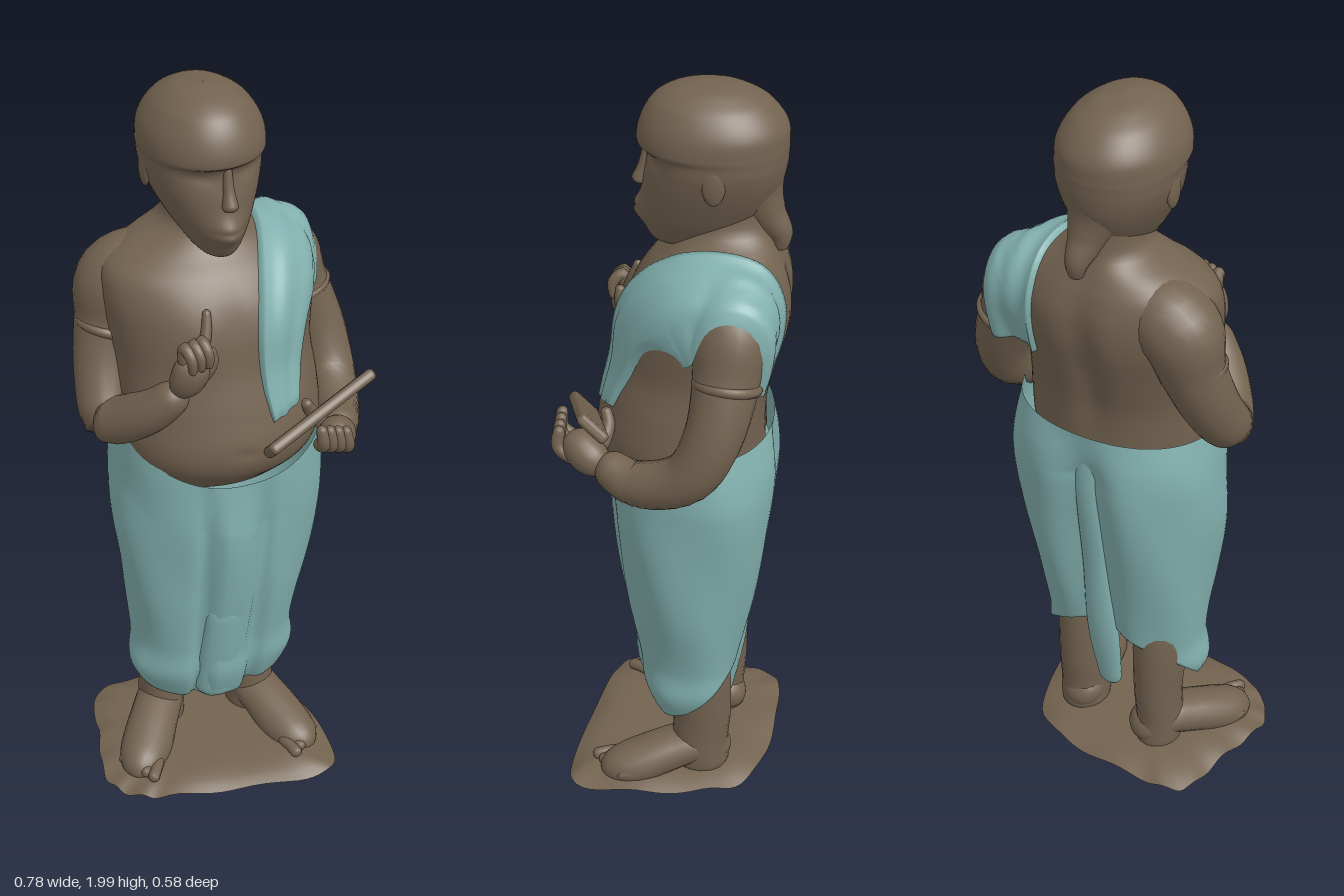
import * as THREE from 'three';
import { RoundedBoxGeometry } from 'three/addons/geometries/RoundedBoxGeometry.js';

const V = (p) => new THREE.Vector3(...p);
const bump = (x, w) => Math.exp(-(x * x) / (w * w));

// Smooth surface from rows of points; each row closes on itself unless open.
function grid(rows, cols, fn, open = false) {
  const pos = [], idx = [], n = open ? cols + 1 : cols;
  for (let i = 0; i <= rows; i++)
    for (let j = 0; j < n; j++) pos.push(...fn(i / rows, j / cols));
  for (let i = 0; i < rows; i++)
    for (let j = 0; j < cols; j++) {
      const k = (j + 1) % n, a = i * n + j, b = i * n + k, c = a + n, d = b + n;
      idx.push(a, b, c, b, d, c);
    }
  const g = new THREE.BufferGeometry();
  g.setAttribute('position', new THREE.Float32BufferAttribute(pos, 3));
  g.setIndex(idx);
  g.computeVertexNormals();
  return g;
}

// Smooth lookup in a table of [y, centreX, halfWidth, frontZ, backZ].
function profile(t, y) {
  let i = 0;
  while (i < t.length - 2 && y > t[i + 1][0]) i++;
  const a = t[i], b = t[i + 1], h = b[0] - a[0];
  const s = Math.min(1, Math.max(0, (y - a[0]) / h));
  const p = t[i - 1] || a, q = t[i + 2] || b;
  return a.map((v, k) => {
    const m0 = ((b[k] - p[k]) / (b[0] - p[0])) * h, m1 = ((q[k] - v) / (q[0] - a[0])) * h;
    return v + s * m0 + s * s * (3 * (b[k] - v) - 2 * m0 - m1) + s * s * s * (m0 + m1 - 2 * (b[k] - v));
  });
}

// Point on a rounded cross-section at height y.
function around(table, y, a, e = 1) {
  const [, cx, rx, zf, zb] = profile(table, y);
  const s = Math.sin(a), c = Math.cos(a), pw = (v) => Math.sign(v) * Math.abs(v) ** e;
  return [cx + rx * pw(s), y, (zf + zb) / 2 + ((zf - zb) / 2) * pw(c)];
}

// Rounded limb through points [x, y, z, radius]; flat squashes one side axis.
function limb(pts, { ref = [1, 0, 0], flat = 1, rows = 36, cols = 20, floor = -1 } = {}) {
  const curve = new THREE.CatmullRomCurve3(pts.map((p) => V(p.slice(0, 3))));
  const len = curve.getLength(), table = pts.map((p, i) => [i / (pts.length - 1), p[3]]);
  return grid(rows, cols, (s, v) => {
    const t = (1 - Math.cos(Math.PI * s)) / 2, a = v * Math.PI * 2;
    let r = profile(table, t)[1];
    const e = Math.min(1, (Math.min(t, 1 - t) * len) / r);
    r *= Math.max(0.01, Math.sqrt(1 - (1 - e) ** 2));
    const T = curve.getTangent(t), N = V(ref).cross(T).normalize(), B = T.clone().cross(N);
    const p = curve.getPoint(t).addScaledVector(N, r * flat * Math.cos(a)).addScaledVector(B, r * Math.sin(a));
    return [p.x, Math.max(floor, p.y), p.z];
  });
}

const TORSO = [
  [0.95, -0.01, 0.2, 0.1, -0.2], [1.03, -0.01, 0.25, 0.178, -0.235], [1.1, -0.01, 0.262, 0.198, -0.236],
  [1.2, -0.01, 0.258, 0.178, -0.242], [1.3, -0.015, 0.255, 0.15, -0.266], [1.4, -0.015, 0.268, 0.13, -0.292],
  [1.48, -0.015, 0.275, 0.102, -0.294], [1.54, -0.02, 0.255, 0.062, -0.278], [1.58, -0.02, 0.195, 0.02, -0.26],
  [1.62, -0.022, 0.11, -0.012, -0.243], [1.66, -0.025, 0.085, -0.02, -0.235], [1.76, -0.03, 0.085, -0.02, -0.235]];

const HEAD = [
  [1.575, -0.022, 0.005, 0.01, 0.0], [1.595, -0.022, 0.045, 0.055, -0.09], [1.64, -0.024, 0.079, 0.076, -0.18],
  [1.69, -0.027, 0.106, 0.084, -0.225], [1.75, -0.03, 0.132, 0.081, -0.256], [1.8, -0.031, 0.146, 0.073, -0.268],
  [1.835, -0.032, 0.149, 0.076, -0.271], [1.85, -0.032, 0.152, 0.095, -0.272], [1.9, -0.032, 0.145, 0.089, -0.266],
  [1.95, -0.032, 0.115, 0.062, -0.228], [1.975, -0.032, 0.083, 0.03, -0.188], [1.99, -0.032, 0.052, -0.01, -0.145],
  [2.0, -0.032, 0.0002, -0.065, -0.0654]];

const CLOTH = [
  [0.18, -0.025, 0.17, 0.04, -0.14], [0.24, -0.025, 0.205, 0.07, -0.165], [0.3, -0.026, 0.228, 0.088, -0.185],
  [0.4, -0.022, 0.228, 0.1, -0.205], [0.6, -0.013, 0.258, 0.132, -0.238], [0.8, -0.01, 0.28, 0.155, -0.268],
  [0.95, -0.004, 0.284, 0.162, -0.285], [1.03, -0.004, 0.28, 0.165, -0.278], [1.12, -0.005, 0.268, 0.165, -0.252]];

const BASE = [[-0.388, 0.07], [-0.365, 0.13], [-0.32, 0.18], [-0.25, 0.213], [-0.08, 0.247], [0.13, 0.275], [0.23, 0.25],
  [0.25, 0.08], [0.22, -0.1], [0.16, -0.21], [0, -0.27], [-0.18, -0.285], [-0.28, -0.275], [-0.325, -0.22], [-0.345, -0.12],
  [-0.375, -0.02]];

export function createModel() {
  const group = new THREE.Group();
  const brown = new THREE.MeshStandardMaterial({ color: 0x736350, side: THREE.DoubleSide });
  brown.name = 'brown clay';
  const blue = new THREE.MeshStandardMaterial({ color: 0x82b0ae, side: THREE.DoubleSide });
  blue.name = 'pale blue cloth';
  const add = (name, geo, mat = brown) => {
    const m = new THREE.Mesh(geo, mat);
    m.name = name;
    group.add(m);
    return m;
  };

  // Torso with spine groove, chest line and navel
  const torso = add('torso', grid(70, 64, (u, v) => {
    const a = v * Math.PI * 2, p = around(TORSO, 0.95 + 0.81 * u, a, 1), x = p[0] + 0.02;
    if (Math.cos(a) < 0) p[2] += 0.025 * bump(x, 0.04) * bump(p[1] - 1.35, 0.2);
    else p[2] += (0.01 * (bump(x - 0.11, 0.08) + bump(x + 0.11, 0.08)) - 0.006 * bump(x, 0.02)) * bump(p[1] - 1.42, 0.08)
      - 0.012 * bump(x, 0.014) * bump(p[1] - 1.1, 0.014);
    return p;
  }));

  // Head with shallow eye sockets, face and hair
  add('head', grid(90, 72, (u, v) => {
    const a = v * Math.PI * 2, p = around(HEAD, 1.575 + 0.425 * u, a, 0.97), x = p[0] + 0.025;
    if (Math.cos(a) > 0) {
      p[2] += 0.024 * bump(x, 0.04) * bump(p[1] - 1.67, 0.035);
      p[2] -= 0.006 * bump(x, 0.035) * bump(p[1] - 1.675, 0.007);
      p[2] -= 0.008 * (bump(x - 0.06, 0.035) + bump(x + 0.06, 0.035)) * bump(p[1] - 1.815, 0.018);
    }
    return p;
  }));
  add('nose', limb([[-0.024, 1.85, 0.066, 0.01], [-0.024, 1.78, 0.079, 0.014], [-0.024, 1.732, 0.092, 0.023]]));
  for (const s of [-1, 1]) {
    const ear = add('ear', new THREE.SphereGeometry(1, 24, 16));
    ear.position.set(-0.031 + s * 0.139, 1.79, -0.1);
    ear.scale.set(0.012, 0.05, 0.028);
  }
  add('hairTuft', limb([[-0.028, 1.84, -0.17, 0.09], [-0.02, 1.74, -0.187, 0.078], [-0.01, 1.675, -0.222, 0.048],
    [-0.003, 1.625, -0.256, 0.03], [0, 1.58, -0.255, 0.016]]));

  // Arms growing out of the shoulders, each with a band on the upper arm
  add('rightArm', limb([[-0.06, 1.52, -0.14, 0.08], [-0.222, 1.465, -0.165, 0.104], [-0.258, 1.36, -0.158, 0.084],
    [-0.29, 1.23, -0.115, 0.073], [-0.302, 1.14, -0.045, 0.065], [-0.235, 1.2, 0.06, 0.057], [-0.16, 1.29, 0.125, 0.04]],
    { ref: [0, 0, 1], rows: 48, cols: 24 }));
  const leftArm = add('leftArm', limb([[0.03, 1.52, -0.13, 0.08], [0.195, 1.47, -0.155, 0.1], [0.252, 1.36, -0.148, 0.083],
    [0.307, 1.22, -0.12, 0.072], [0.318, 1.115, -0.06, 0.066], [0.283, 1.067, 0.07, 0.058], [0.24, 1.1, 0.165, 0.042]],
    { ref: [0, 0, 1], rows: 48, cols: 24 }));
  for (const s of [-1, 1]) {
    const band = add('armBand', new THREE.TorusGeometry(0.074, 0.013, 10, 36));
    band.position.set(s * 0.26, 1.345, -0.15);
    band.rotation.set(Math.PI / 2 - 0.1, s * 0.3, 0);
  }

  // Raised right hand with upright first finger
  add('rightPalm', limb([[-0.17, 1.27, 0.115, 0.038], [-0.147, 1.34, 0.138, 0.048], [-0.135, 1.39, 0.14, 0.038]], { flat: 0.85 }));
  add('rightIndexFinger', limb([[-0.12, 1.38, 0.135, 0.017], [-0.1, 1.43, 0.12, 0.014], [-0.09, 1.487, 0.1, 0.01]]));
  for (let i = 0; i < 3; i++) {
    const x = -0.122 - i * 0.021, y = 1.43 - i * 0.005;
    add('rightCurledFinger', limb([[x, y - 0.06, 0.14, 0.016], [x, y, 0.145, 0.016], [x + 0.008, y - 0.02, 0.17, 0.014],
      [x + 0.012, y - 0.065, 0.168, 0.011]], { rows: 20, cols: 12 }));
  }
  add('rightThumb', limb([[-0.12, 1.32, 0.14, 0.02], [-0.095, 1.37, 0.15, 0.015], [-0.1, 1.41, 0.15, 0.011]]));

  // Left hand gripping the tablet
  add('leftPalm', limb([[0.25, 1.075, 0.145, 0.044], [0.215, 1.115, 0.21, 0.048], [0.18, 1.14, 0.24, 0.036]]));
  for (let i = 0; i < 4; i++) {
    const x = 0.23 - i * 0.022, y = 1.13 + i * 0.006;
    add('leftFinger', limb([[x, y - 0.045, 0.215, 0.018], [x - 0.01, y - 0.01, 0.268, 0.018], [x - 0.018, y + 0.045, 0.266, 0.013]],
      { rows: 20, cols: 12 }));
  }
  add('leftThumb', limb([[0.21, 1.11, 0.17, 0.022], [0.17, 1.16, 0.15, 0.017], [0.15, 1.2, 0.16, 0.013]]));
  const tablet = add('tablet', new RoundedBoxGeometry(0.335, 0.09, 0.03, 3, 0.012));
  const X = V([0.31, 0.12, -0.07]).normalize(), Z = X.clone().cross(V([0, 0.7, 0.7])).normalize();
  tablet.quaternion.setFromRotationMatrix(new THREE.Matrix4().makeBasis(X, Z.clone().cross(X), Z));
  tablet.position.set(0.172, 1.182, 0.2);

  // Sash draped over the left shoulder, laid softly onto the body beneath it
  const inner = [[-0.6, 0.055], [-0.3, 0.035], [0.3, 0.03], [0.9, 0.055], [1.57, 0.1], [2.4, 0.115], [3.35, 0.13]];
  const outer = [[-0.6, 0.14], [-0.3, 0.16], [0.3, 0.195], [0.9, 0.25], [1.57, 0.28], [2.4, 0.28], [3.35, 0.262]];
  const ray = new THREE.Raycaster();
  const reach = (x, f) => {
    const dir = V([0, Math.sin(f), Math.cos(f)]);
    ray.set(V([x, 1.34, -0.08]).addScaledVector(dir, 1), dir.negate());
    const hit = ray.intersectObjects([torso, leftArm])[0];
    return hit ? 1 - hit.distance : 0.12;
  };
  add('sash', grid(64, 20, (u, v) => {
    const f = -0.6 + 3.95 * u, a = profile(inner, f)[1], x = a + v * (profile(outer, f)[1] - a);
    let sum = 0;
    for (const dx of [-0.022, 0, 0.022]) for (const df of [-0.07, 0, 0.07]) sum += reach(Math.min(0.28, x + dx), f + df);
    const edge = v === 0 || v === 1 || u === 0 || u === 1;
    const d = Math.max(sum / 9, reach(x, f)) + (edge ? -0.008 : 0.016 + 0.003 * Math.cos(v * 15));
    return [x, 1.34 + d * Math.sin(f), -0.08 + d * Math.cos(f)];
  }, true), blue);

  // Wrapped lower garment with front pleat, back cleft and a raised back hem
  add('lowerGarment', grid(80, 96, (u, v) => {
    const a = v * Math.PI * 2, c = Math.cos(a), s = Math.sin(a), w = Math.max(0, (u - 0.06) / 0.94);
    const top = 1.115 - 0.13 * Math.max(0, c) ** 1.6;
    const hem = 0.27 - 0.06 * c + 0.1 * Math.max(0, -c) - 0.02 * Math.abs(s);
    const p = around(CLOTH, hem + (top - hem) * w, a, 0.9), x = p[0] + 0.03, fade = Math.min(1, (1 - w) * 5);
    if (c > 0) p[2] += fade * (0.014 * Math.exp(-((x / 0.06) ** 4)) - 0.026 * (bump(x - 0.08, 0.022) + bump(x + 0.075, 0.018)));
    else p[2] += fade * 0.055 * bump(p[0] + 0.005, 0.075);
    const fold = 1 + 0.014 * Math.sin(11 * p[1] + 5 * a) * fade + 0.02 * bump(p[1] - 0.32, 0.04);
    const shrink = w === 0 ? 1 - 0.35 * (1 - u / 0.06) : 1;
    return [-0.02 + (p[0] + 0.02) * fold * shrink, p[1] + (1 - shrink) * 0.08, -0.05 + (p[2] + 0.05) * fold * shrink];
  }), blue);
  add('backClothTail', limb([[-0.005, 1.08, -0.21, 0.05], [-0.005, 0.92, -0.226, 0.036], [-0.005, 0.65, -0.193, 0.038],
    [-0.01, 0.4, -0.168, 0.046], [-0.015, 0.18, -0.135, 0.032]], { flat: 0.6 }), blue);
  add('frontPleatEnd', limb([[-0.03, 0.6, 0.11, 0.06], [-0.035, 0.42, 0.08, 0.066], [-0.038, 0.3, 0.055, 0.07], [-0.04, 0.195, 0.035, 0.068]],
    { flat: 0.6 }), blue);

  // Legs, feet and toes: ankle position, heading and ankle width
  for (const [side, x, z, turn, r] of [['left', 0.1, -0.085, 0.28, 0.062], ['right', -0.153, -0.115, -0.6, 0.058]]) {
    const at = (along, across, y, rad) => [x + Math.sin(turn) * along + Math.cos(turn) * across, y,
      z + Math.cos(turn) * along - Math.sin(turn) * across, rad];
    add(side + 'Leg', limb([[x, 0.6, z + 0.06, 0.07], [x, 0.42, z + 0.02, 0.076], at(0, 0, 0.22, r + 0.007), at(0.005, 0, 0.12, r + 0.005),
      at(0, 0, 0.0, r + 0.006)], { flat: 1.15, floor: 0.022 }));
    add(side + 'Foot', limb([at(-0.075, 0, 0.06, 0.05), at(0, 0, 0.1, 0.064), at(0.08, 0, 0.085, 0.068), at(0.19, 0, 0.05, 0.07),
      at(0.285, 0, 0.038, 0.048)], { flat: 0.85, floor: 0.022 }));
    for (let i = 0; i < 5; i++) {
      const k = (i - 2) * 0.025 * (side === 'left' ? 1 : -1), f = 0.285 - i * 0.013;
      add(side + 'Toe', limb([at(f - 0.07, k, 0.052, 0.016), at(f - 0.02, k, 0.052, 0.016), at(f + 0.015, k, 0.045, 0.017 - i * 0.0015)],
        { rows: 14, cols: 10 }));
    }
  }

  // Thin uneven ground slab whose rim droops
  const rim = new THREE.CatmullRomCurve3(BASE.map(([x, z]) => V([x, 0, z])), true, 'catmullrom', 0.5);
  add('base', grid(14, 112, (u, v) => {
    const p = rim.getPoint(v), r = 1 - u, wob = Math.sin(v * 8 * Math.PI) + Math.sin(v * 26 * Math.PI + 1);
    const k = r * (1 + 0.005 * wob * r ** 6);
    return [-0.05 + (p.x + 0.05) * k, 0.045 - r ** 6 * (0.028 + 0.005 * wob), p.z * k];
  }));
  return group;
}
